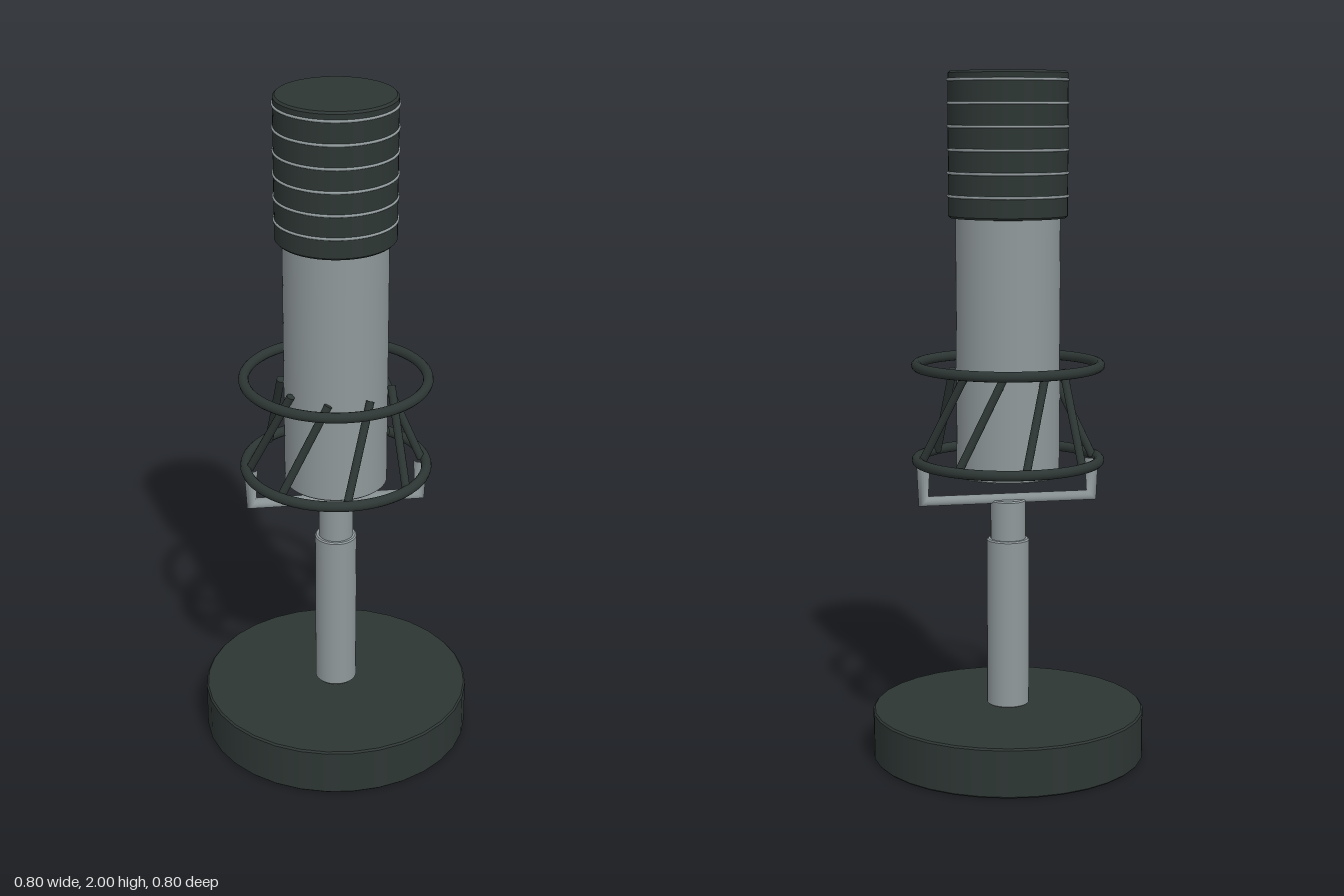
import * as THREE from 'three';

const darkMetal = new THREE.MeshStandardMaterial({ name: 'dark metal', color: 0x2d3634 });
const greyMetal = new THREE.MeshStandardMaterial({ name: 'grey metal', color: 0x8f989a });

// Upright U bracket: one ring per corner, so the bar thins at the bends.
class BracketCurve extends THREE.Curve {
  constructor() {
    super();
    this.points = [[-0.25, 0.885], [-0.25, 0.772], [0.25, 0.772], [0.25, 0.885]];
    this.tangents = [[0, -1], [1, -1], [1, 1], [0, 1]];
  }
  getPoint(t, target = new THREE.Vector3()) {
    const i = Math.round(t * 3);
    return target.set(...this.points[i], 0);
  }
  getPointAt(t, target) {
    return this.getPoint(t, target);
  }
  getTangentAt(t, target = new THREE.Vector3()) {
    const i = Math.round(t * 3);
    return target.set(...this.tangents[i], 0).normalize();
  }
}

export function createModel() {
  const model = new THREE.Group();
  model.name = 'studioMicrophone';

  const add = (name, geometry, material, parent = model) => {
    const mesh = new THREE.Mesh(geometry, material);
    mesh.name = name;
    parent.add(mesh);
    return mesh;
  };

  // Closed cylinder with a small chamfer; doubled points keep its edges sharp.
  const column = (name, radius, bottom, top, bevel, sides, material) => {
    const corners = [
      [0, bottom], [radius - bevel, bottom], [radius, bottom + bevel],
      [radius, top - bevel], [radius - bevel, top], [0, top],
    ];
    const profile = corners.flatMap(([r, y], i) => {
      const p = new THREE.Vector2(r, y);
      return i === 0 || i === 5 ? [p] : [p, p.clone()];
    });
    return add(name, new THREE.LatheGeometry(profile, sides), material);
  };

  const hoop = (name, radius, tube, y, material, parent) => {
    const mesh = add(name, new THREE.TorusGeometry(radius, tube, 12, 64), material, parent);
    mesh.rotation.x = Math.PI / 2;
    mesh.position.y = y;
    return mesh;
  };

  // Round rod between two points
  const rod = (name, a, b, radius, material, parent) => {
    const mesh = add(name, new THREE.CylinderGeometry(radius, radius, a.distanceTo(b), 12), material, parent);
    mesh.position.copy(a).lerp(b, 0.5);
    mesh.quaternion.setFromUnitVectors(new THREE.Vector3(0, 1, 0), b.clone().sub(a).normalize());
    return mesh;
  };

  // Stand
  column('base', 0.4, 0, 0.144, 0.005, 32, darkMetal);
  column('lowerPole', 0.062, 0.153, 0.653, 0.004, 32, greyMetal);
  column('upperPole', 0.051, 0.64, 0.77, 0.004, 32, greyMetal);
  add('bracket', new THREE.TubeGeometry(new BracketCurve(), 3, 0.02, 16, false), greyMetal);

  // Microphone body and grille head
  column('body', 0.15, 0.842, 1.6, 0.004, 64, greyMetal);
  column('head', 0.171, 1.588, 2, 0.006, 64, darkMetal);
  const bands = new THREE.Group();
  bands.name = 'headBands';
  model.add(bands);
  for (let i = 0; i < 6; i++) {
    hoop('headBand', 0.171, 0.004, 1.65 + i * 0.065, greyMetal, bands);
  }

  // Shock mount: two hoops and eight slanted struts
  const mount = new THREE.Group();
  mount.name = 'shockMount';
  model.add(mount);
  hoop('lowerHoop', 0.265, 0.015, 0.888, darkMetal, mount);
  hoop('upperHoop', 0.265, 0.015, 1.165, darkMetal, mount);
  const polar = (r, angle, y) => new THREE.Vector3(r * Math.cos(angle), y, r * Math.sin(angle));
  for (let i = 0; i < 8; i++) {
    const angle = (i * Math.PI) / 4;
    rod('strut', polar(0.253, angle, 0.888), polar(0.16, angle - Math.PI / 6, 1.15), 0.012, darkMetal, mount);
  }

  return model;
}
